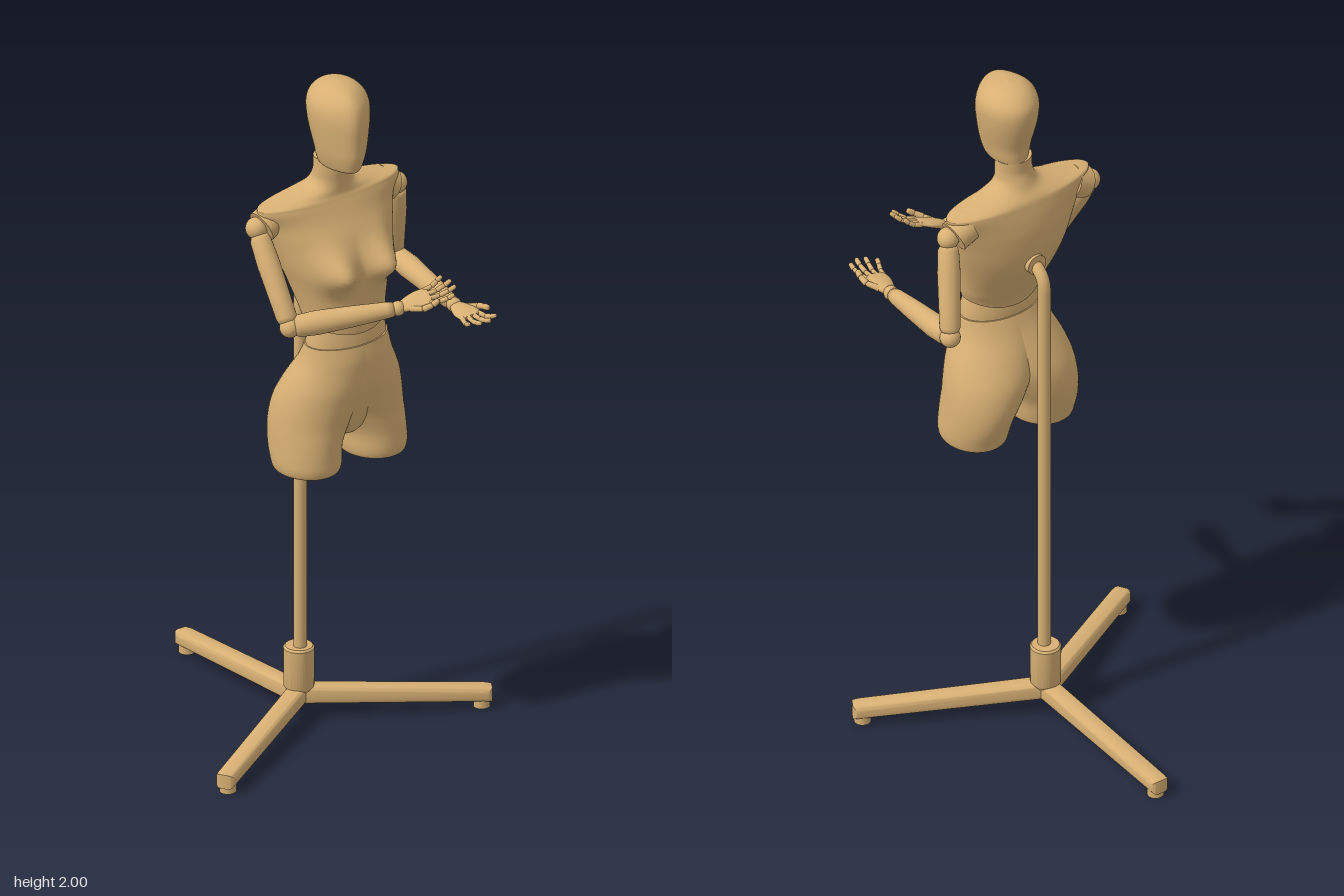
import * as THREE from 'three';
import { toCreasedNormals } from 'three/addons/utils/BufferGeometryUtils.js';

const V = (x, y, z) => new THREE.Vector3(x, y, z);
const material = new THREE.MeshStandardMaterial({ color: 0xd8b074 });

function add(parent, name, geometry) {
  const mesh = new THREE.Mesh(geometry, material);
  mesh.name = name;
  parent.add(mesh);
  return mesh;
}

// Closed smooth skin through rows of [y, centreX, halfWidth, backZ, frontZ]
function loft(rows, warp = () => {}, sides = 56, sub = 5) {
  const pos = [], index = [];
  const rings = (rows.length - 1) * sub + 1;
  const at = (u, k) => {
    const i = Math.min(Math.floor(u), rows.length - 2), t = u - i;
    const r = (j) => rows[THREE.MathUtils.clamp(j, 0, rows.length - 1)][k];
    const slope = (j) => (r(j + 1) - r(j - 1)) / 2;
    const a = r(i), b = r(i + 1), d = b - a;
    // limited slopes keep the curve from overshooting
    const lim = (m) => (m * d <= 0 ? 0 : Math.sign(d) * Math.min(Math.abs(m), 3 * Math.abs(d)));
    const m0 = lim(slope(i)), m1 = lim(slope(i + 1));
    const t2 = t * t, t3 = t2 * t;
    return a * (2 * t3 - 3 * t2 + 1) + m0 * (t3 - 2 * t2 + t) + b * (3 * t2 - 2 * t3) + m1 * (t3 - t2);
  };
  for (let j = 0; j < rings; j++) {
    const [y, cx, hx, zb, zf] = [0, 1, 2, 3, 4].map((k) => at(j / sub, k));
    for (let i = 0; i < sides; i++) {
      const a = (i / sides) * Math.PI * 2;
      const p = V(cx + hx * Math.sin(a), y, (zb + zf) / 2 + ((zf - zb) / 2) * Math.cos(a));
      warp(p, a);
      pos.push(p.x, p.y, p.z);
      if (j < rings - 1) {
        const n = (i + 1) % sides, r0 = j * sides, r1 = r0 + sides;
        index.push(r0 + i, r0 + n, r1 + i, r0 + n, r1 + n, r1 + i);
      }
    }
  }
  // End caps on their own vertices, so their rims stay sharp
  for (const ring of [0, rings - 1]) {
    const base = pos.length / 3, c = V(0, 0, 0);
    for (let i = 0; i < sides; i++) {
      const p = pos.slice((ring * sides + i) * 3, (ring * sides + i) * 3 + 3);
      pos.push(...p);
      c.add(V(...p).divideScalar(sides));
      const n = (i + 1) % sides;
      index.push(base + sides, base + (ring ? i : n), base + (ring ? n : i));
    }
    pos.push(c.x, c.y, c.z);
  }
  const g = new THREE.BufferGeometry();
  g.setAttribute('position', new THREE.Float32BufferAttribute(pos, 3));
  g.setIndex(index);
  g.computeVertexNormals();
  return g;
}

// Turned piece from a to b; profile holds [fraction of length, radius]
function limb(parent, name, a, b, profile, sides = 24) {
  const d = b.clone().sub(a), len = d.length();
  const m = add(parent, name, new THREE.LatheGeometry(profile.map(([t, r]) => new THREE.Vector2(r, t * len)), sides));
  m.position.copy(a);
  m.quaternion.setFromUnitVectors(V(0, 1, 0), d.normalize());
  return m;
}

function ball(parent, name, p, r) {
  add(parent, name, new THREE.SphereGeometry(r, 24, 16)).position.copy(p);
}

// Palm-up hand along local +z; side is the local x direction of the thumb
function hand(parent, name, wrist, target, side, roll) {
  const g = new THREE.Group();
  g.name = name;
  g.position.copy(wrist);
  g.lookAt(target);
  g.rotateZ(roll);
  const palm = add(g, 'palm', loft([
    [0.008, 0, 0.017, -0.012, 0.012], [0.03, 0, 0.027, -0.014, 0.012],
    [0.06, 0, 0.035, -0.012, 0.01], [0.085, 0, 0.034, -0.009, 0.008], [0.094, 0, 0.028, -0.006, 0.005],
  ], undefined, 24, 3));
  palm.rotation.x = Math.PI / 2;
  const finger = (label, points, r) => points.slice(1).forEach((p, i) =>
    limb(g, label, points[i], p, [[-0.08, 0], [-0.04, r * 0.7], [0.08, r], [0.9, r * 0.85], [1.03, r * 0.5], [1.07, 0]], 12));
  [0.068, 0.082, 0.078, 0.06].forEach((len, i) => {
    const x = side * (0.026 - i * 0.0175), s = side * (1.5 - i) * 0.004;
    finger('finger', [V(x, 0, 0.085), V(x + s, -0.002, 0.085 + len * 0.42),
      V(x + 2 * s, 0.004, 0.085 + len * 0.75), V(x + 2.4 * s, 0.012, 0.085 + len)], 0.0075);
  });
  finger('thumb', [V(side * 0.018, 0, 0.03), V(side * 0.043, 0.005, 0.06),
    V(side * 0.047, 0.011, 0.088), V(side * 0.044, 0.017, 0.108)], 0.0095);
  parent.add(g);
}

function arm(parent, name, shoulder, elbow, wrist, tip, side, roll) {
  const g = new THREE.Group();
  g.name = name;
  ball(g, 'shoulderJoint', shoulder, 0.031);
  limb(g, 'upperArm', shoulder, elbow, [[0.06, 0], [0.07, 0.022], [0.12, 0.029], [0.35, 0.032], [0.7, 0.03], [0.9, 0.029], [0.96, 0.022], [0.97, 0]]);
  ball(g, 'elbowJoint', elbow, 0.029);
  limb(g, 'forearm', elbow, wrist, [[0.02, 0], [0.03, 0.024], [0.08, 0.031], [0.25, 0.034], [0.6, 0.029], [0.9, 0.023], [0.96, 0.02], [0.97, 0]]);
  ball(g, 'wristJoint', wrist, 0.021);
  hand(g, 'hand', wrist, tip, side, roll);
  parent.add(g);
}

export function createModel() {
  const root = new THREE.Group();

  // Stand: three sloping legs with feet, a collar and a bent pole
  const legShape = new THREE.Shape([[0, 0.045], [0.53, 0.018], [0.53, 0.06], [0.51, 0.064], [0, 0.098]].map((p) => new THREE.Vector2(...p)));
  const legGeo = new THREE.ExtrudeGeometry(legShape, {
    depth: 0.024, bevelEnabled: true, bevelSize: 0.016, bevelThickness: 0.016, bevelOffset: -0.016, bevelSegments: 5,
  });
  legGeo.translate(0, 0, -0.012);
  const legSmooth = toCreasedNormals(legGeo, 0.7);
  for (let i = 0; i < 3; i++) {
    const leg = new THREE.Group();
    leg.name = 'standLeg';
    add(leg, 'legBar', legSmooth);
    add(leg, 'foot', new THREE.CylinderGeometry(0.023, 0.023, 0.03, 24)).position.set(0.502, 0.015, 0);
    leg.rotation.y = Math.PI / 2 + (i * Math.PI * 2) / 3;
    root.add(leg);
  }
  const collar = [[0, 0.045], [0.012, 0.05], [0.042, 0.095], [0.043, 0.21], [0.038, 0.216], [0, 0.216]];
  add(root, 'collar', toCreasedNormals(new THREE.LatheGeometry(collar.map((p) => new THREE.Vector2(...p)), 32), 0.6));
  const path = new THREE.CurvePath();
  path.add(new THREE.LineCurve3(V(0, 0.2, 0.006), V(0, 1.39, 0.006)));
  path.add(new THREE.QuadraticBezierCurve3(V(0, 1.39, 0.006), V(0, 1.455, 0.006), V(0, 1.457, 0.08)));
  add(root, 'pole', new THREE.TubeGeometry(path, 120, 0.018, 20));
  const flange = add(root, 'flange', new THREE.CylinderGeometry(0.03, 0.03, 0.025, 28));
  flange.rotation.x = Math.PI / 2;
  flange.position.set(0, 1.457, 0.05);

  // Hips: two overlapping mirrored halves, a filled middle and a waist
  for (const s of [-1, 1]) {
    add(root, s > 0 ? 'leftHip' : 'rightHip', loft([
      [0.86, 0.112, 0.076, 0.092, 0.268], [0.866, 0.112, 0.088, 0.08, 0.28], [0.89, 0.112, 0.094, 0.072, 0.285],
      [0.94, 0.109, 0.096, 0.055, 0.284], [1.0, 0.092, 0.109, 0.045, 0.284], [1.06, 0.07, 0.122, 0.05, 0.292],
      [1.12, 0.046, 0.128, 0.074, 0.3], [1.19, 0.018, 0.124, 0.11, 0.3], [1.24, 0, 0.129, 0.13, 0.292],
    ].map((r) => [r[0], s * r[1], ...r.slice(2)])));
  }
  add(root, 'pelvis', loft([
    [0.935, 0, 0.012, 0.16, 0.2], [0.96, 0, 0.045, 0.12, 0.245], [1.0, 0, 0.09, 0.1, 0.266],
    [1.06, 0, 0.13, 0.09, 0.284], [1.12, 0, 0.145, 0.1, 0.297], [1.2, 0, 0.12, 0.13, 0.295],
  ]));
  add(root, 'waist', loft([[1.2, 0, 0.126, 0.135, 0.29], [1.25, 0, 0.124, 0.133, 0.287], [1.32, 0, 0.11, 0.14, 0.275]]));

  // Upper body with bust, square shoulders and neck
  add(root, 'torso', loft([
    [1.275, 0, 0.119, 0.13, 0.287], [1.3, 0, 0.124, 0.122, 0.287], [1.35, 0, 0.134, 0.1, 0.287],
    [1.42, 0, 0.154, 0.065, 0.285], [1.48, 0, 0.174, 0.047, 0.28], [1.55, 0, 0.193, 0.043, 0.253],
    [1.6, 0, 0.209, 0.048, 0.224], [1.637, 0, 0.235, 0.056, 0.205], [1.652, 0, 0.236, 0.06, 0.198],
    [1.663, 0, 0.165, 0.066, 0.194], [1.68, 0, 0.088, 0.08, 0.193], [1.7, 0, 0.06, 0.09, 0.193],
    [1.73, 0, 0.054, 0.1, 0.195], [1.765, 0, 0.053, 0.1, 0.196],
  ], (p, a) => {
    const front = Math.max(0, Math.cos(a));
    const dx = (Math.abs(p.x) - 0.08) / 0.05, dy = (p.y - 1.465) / (p.y > 1.465 ? 0.06 : 0.045);
    p.z += 0.062 * Math.sqrt(front) * Math.exp(-dx * dx - dy * dy);
    if (p.y < 1.33) p.y += 0.45 * Math.sin(a) ** 2 * (1.33 - p.y);
  }, 96));
  for (const s of [-1, 1]) {
    const plate = add(root, 'armhole', new THREE.CylinderGeometry(0.046, 0.046, 0.05, 32));
    plate.position.set(s * 0.198, 1.608, 0.122);
    plate.rotation.z = -s * 1.98;
  }

  // Smooth egg-shaped head with a narrowed face, turned to its right
  const head = add(root, 'head', loft([
    [1.757, 0, 0.048, -0.07, 0.085], [1.762, 0, 0.056, -0.073, 0.108], [1.78, 0, 0.063, -0.075, 0.117],
    [1.81, 0, 0.07, -0.078, 0.124], [1.85, 0, 0.078, -0.09, 0.125], [1.89, 0, 0.084, -0.1, 0.125],
    [1.925, 0, 0.086, -0.104, 0.12], [1.955, 0, 0.079, -0.098, 0.107], [1.98, 0, 0.06, -0.075, 0.079],
    [1.994, 0, 0.035, -0.045, 0.043], [2.0, 0, 0.001, -0.006, 0.0],
  ], (p, a) => { p.x *= 1 - 0.3 * Math.max(0, Math.cos(a)) ** 1.5; }));
  head.position.z = 0.174;
  head.rotation.y = -0.23;

  // Arms, bent forward with open palms
  arm(root, 'leftArm', V(0.238, 1.598, 0.125), V(0.29, 1.335, 0.045), V(0.268, 1.303, 0.345), V(0.25, 1.308, 0.525), 1, 0.1);
  arm(root, 'rightArm', V(-0.237, 1.598, 0.12), V(-0.237, 1.355, 0.27), V(0.025, 1.39, 0.412), V(0.18, 1.44, 0.475), -1, 0.3);
  return root;
}
